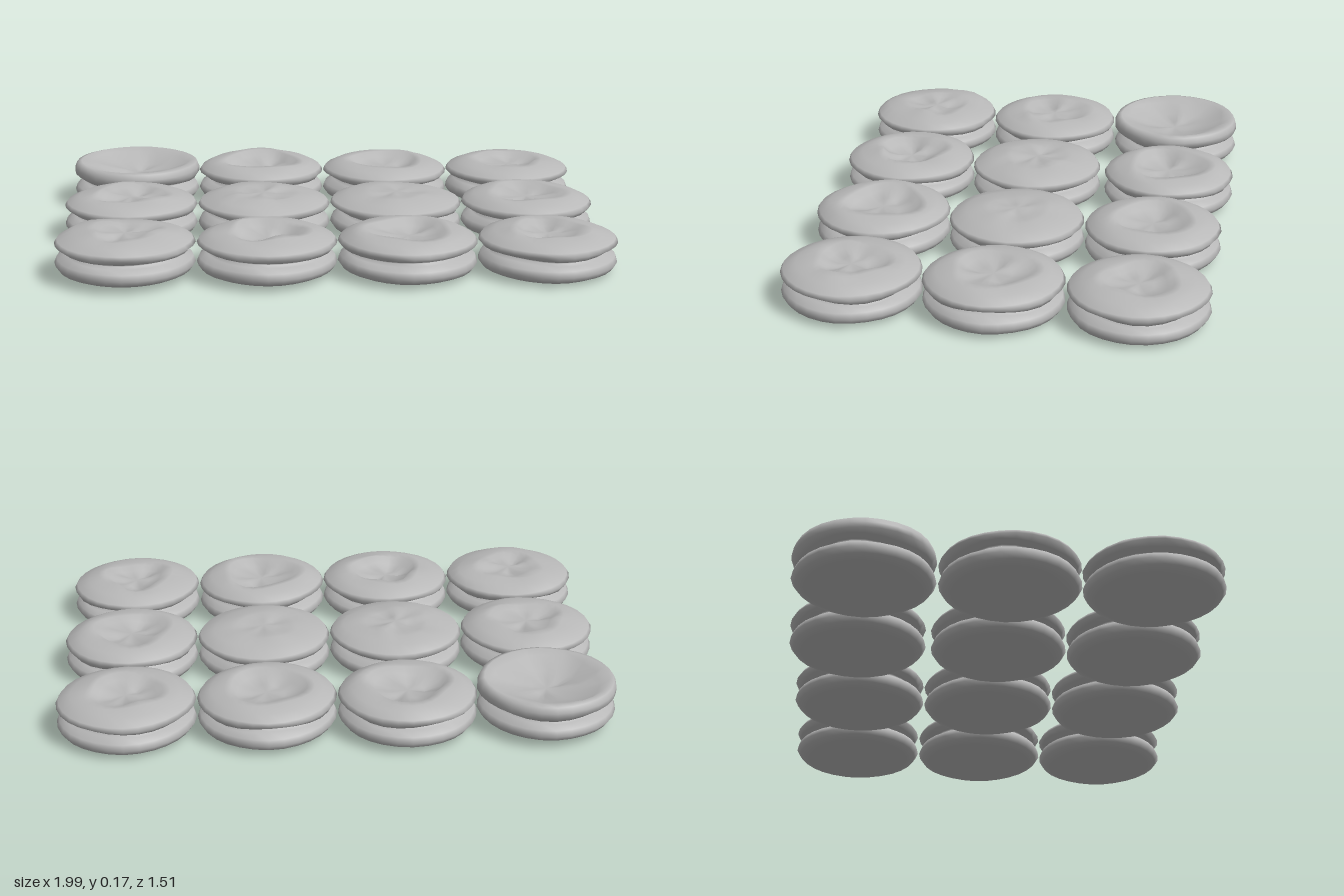
import * as THREE from 'three';
import { mergeVertices } from 'three/addons/utils/BufferGeometryUtils.js';

const grey = new THREE.MeshStandardMaterial({ color: 0xb8b8b8 });
grey.name = 'grey';

// Small seeded random generator
function seeded(seed) {
  let s = seed;
  return () => (s = (s * 16807) % 2147483647) / 2147483647;
}

// Underside, lower lobe, groove and upper lobe, as radius and height
const BODY = [
  [0, 0.016], [0.1, 0.01], [0.17, 0.004], [0.205, 0.003], [0.233, 0.015], [0.246, 0.034],
  [0.238, 0.055], [0.21, 0.068], [0.194, 0.075], [0.197, 0.082], [0.228, 0.089], [0.246, 0.105],
];
const bowlTop = [[0.246, 0.125], [0.238, 0.145], [0.22, 0.15], [0.19, 0.138], [0.12, 0.112], [0.05, 0.1], [0, 0.098]];

// Shoulder rising to a rim, then a dimple falling to the floor height
const dimpleTop = (rim, floor) => [
  [0.237, 0.12], [(0.237 + rim) / 2 + 0.008, 0.138], [rim + 0.015, 0.147], [rim - 0.01, 0.147],
  [rim - 0.035, 0.147 - (0.147 - floor) * 0.65], [rim * 0.4, floor], [0, floor + 0.004],
];

// One disc with slightly uneven lobes and a warped dimple
function discGeometry(top, warp, rand) {
  const points = [...BODY, ...top].map(([r, y]) => new THREE.Vector2(r, y));
  const geo = new THREE.LatheGeometry(points, 28);
  const pos = geo.attributes.position;
  const [p, q, s, t] = [0, 0, 0, 0].map(() => rand() * Math.PI * 2);
  for (let i = 0; i < pos.count; i++) {
    const x = pos.getX(i), y = pos.getY(i), z = pos.getZ(i);
    const r = Math.hypot(x, z), a = Math.atan2(z, x);
    let k = 1, dy = 0;
    if (y > 0.095 && r < 0.19) { // top dimple
      const w = Math.min(1, r / 0.05) * warp;
      k += w * 0.1 * Math.cos(3 * a + p);
      dy = w * (0.006 * Math.cos(2 * a + q) + 0.004 * Math.cos(5 * a + s)) * (r < 0.13 ? 1 : 0.3);
    } else if (y > 0.06 && y < 0.09) { // groove
      k += 0.03 * Math.cos(4 * a + t);
      dy = 0.003 * Math.cos(3 * a + s);
    } else if (r < 0.18) { // underside
      dy = 0.005 * Math.min(1, r / 0.08) * Math.cos(2 * a + t);
    } else { // rims reach out toward the neighbouring discs
      k += 0.012 * Math.pow(Math.cos(2 * a), 8) - 0.004 + 0.004 * Math.cos(5 * a + p);
    }
    pos.setXYZ(i, x * k, y + dy, z * k);
  }
  geo.deleteAttribute('uv');
  geo.deleteAttribute('normal');
  const welded = mergeVertices(geo, 1e-4);
  welded.computeVertexNormals();
  return welded;
}

// Rim radius, floor height and warp of each disc, back row first
const DISCS = [
  [null, [0.15, 0.113, 1], [0.145, 0.115, 0.7], [0.135, 0.122, 0.8]],
  [[0.135, 0.128, 1], [0.115, 0.143, 0.8], [0.11, 0.144, 0.5], [0.145, 0.123, 1]],
  [[0.125, 0.134, 1], [0.135, 0.113, 1.1], [0.15, 0.116, 1], [0.13, 0.122, 1]],
];

export function createModel() {
  const group = new THREE.Group();
  group.name = 'discGrid';
  const rand = seeded(4127);
  DISCS.forEach((row, j) => row.forEach((spec, i) => {
    const top = spec ? dimpleTop(spec[0], spec[1]) : bowlTop;
    const mesh = new THREE.Mesh(discGeometry(top, spec ? spec[2] : 0.8, rand), grey);
    mesh.name = `disc_row${j + 1}_column${i + 1}`;
    const x = (i - 1.5) * 0.5;
    // The sheet sinks slightly toward +x
    mesh.position.set(x * 0.997, 0.008 - 0.009 * x, (j - 1) * 0.5 - (j === 0 && i === 1 ? 0.015 : 0));
    mesh.rotation.z = -0.009;
    group.add(mesh);
  }));
  return group;
}
